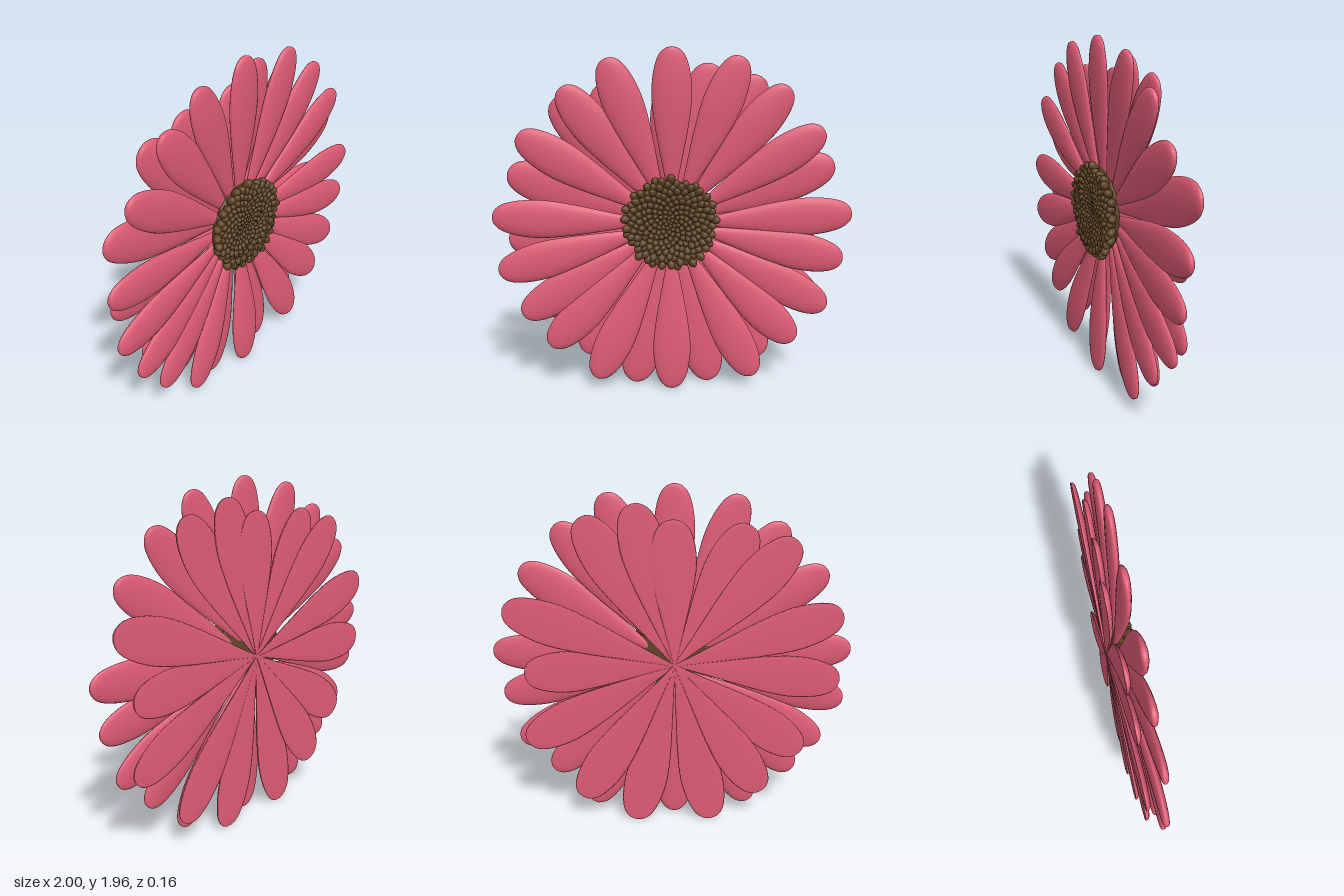
import * as THREE from 'three';

const CX = -0.01, CY = 1.0;

// Tips (x, y) of the upper ring of petals, clockwise from the top
const FRONT_TIPS = [
  [-0.01, 1.97], [0.36, 1.92], [0.62, 1.76], [0.82, 1.53], [1.0, 1.06], [0.96, 0.79],
  [0.88, 0.5], [0.7, 0.3], [0.47, 0.08], [-0.01, 0.01], [-0.45, 0.08], [-0.71, 0.29],
  [-0.86, 0.48], [-0.98, 0.74], [-1.0, 1.06], [-0.84, 1.51], [-0.6, 1.76], [-0.36, 1.91],
];

// Tips of the lower ring
const BACK_TIPS = [
  [0, 1.8], [0.21, 1.88], [0.48, 1.81], [0.91, 1.33], [0.82, 0.95], [0.83, 0.53],
  [0.53, 0.17], [0.22, 0.01], [-0.23, 0.01], [-0.52, 0.2], [-0.74, 0.46], [-0.93, 0.9],
  [-0.92, 1.29], [-0.65, 1.69], [-0.4, 1.77],
];

// Petal outline: x = relative half width, y = position along the petal
const OUTLINE = new THREE.SplineCurve([
  [0.04, 0], [0.26, 0.15], [0.53, 0.32], [0.83, 0.52], [1, 0.7],
  [0.93, 0.84], [0.7, 0.94], [0.36, 0.988], [0, 1],
].map(([x, y]) => new THREE.Vector2(x, y)));

// Loft a petal from oval cross-sections running from start radius to tip
function petalGeometry([tx, ty], o) {
  const RINGS = 32, SIDES = 20;
  const d = new THREE.Vector2(tx - CX, ty - CY);
  const length = d.length();
  d.normalize();
  const pos = [], index = [];
  for (let i = 0; i <= RINGS; i++) {
    const p = OUTLINE.getPoint(i / RINGS);
    const w = Math.max(p.x, 0);
    const r = o.start + (length - o.start) * p.y;
    const mid = o.z + o.rise * Math.sin(Math.min(p.y, 1) * Math.PI / 2);
    const thick = o.thick * Math.sqrt(w);
    for (let j = 0; j < SIDES; j++) {
      const a = j / SIDES * Math.PI * 2;
      const side = Math.cos(a) * w * o.halfWidth;
      const up = Math.sin(a) * thick * (Math.sin(a) > 0 ? 1 : o.under);
      pos.push(CX + d.x * r + d.y * side, CY + d.y * r - d.x * side, mid + up);
      if (i < RINGS) {
        const A = i * SIDES + j, B = i * SIDES + (j + 1) % SIDES;
        index.push(A, A + SIDES, B, B, A + SIDES, B + SIDES);
      }
    }
  }
  const g = new THREE.BufferGeometry();
  g.setAttribute('position', new THREE.Float32BufferAttribute(pos, 3));
  g.setIndex(index);
  g.computeVertexNormals();
  return g;
}

function petalRing(name, tips, material, options) {
  const ring = new THREE.Group();
  ring.name = name;
  tips.forEach((tip, i) => {
    const mesh = new THREE.Mesh(petalGeometry(tip, options(i)), material);
    mesh.name = 'petal';
    ring.add(mesh);
  });
  return ring;
}

// Spiral of florets, small in the middle and plump, outward-leaning at the rim
function floretDisc(material) {
  const disc = new THREE.Group();
  disc.name = 'flowerCentre';
  disc.position.set(-0.02, 1.02, 0);

  const base = new THREE.Mesh(new THREE.SphereGeometry(1, 40, 20), material);
  base.name = 'centreBase';
  base.scale.set(0.235, 0.235, 0.045);
  disc.add(base);

  const bud = new THREE.SphereGeometry(1, 12, 9);
  const COUNT = 210, GOLDEN = Math.PI * (3 - Math.sqrt(5));
  for (let i = 0; i < COUNT; i++) {
    const t = (i + 0.5) / COUNT;
    const k = Math.pow(t, 0.62);
    const wobble = Math.sin(i * 12.9898);
    const a = i * GOLDEN;
    const r = 0.25 * k + 0.008 * wobble * k;
    const out = new THREE.Vector3(Math.cos(a), Math.sin(a), 0);
    const axis = out.clone().multiplyScalar(1.3 * k * k).setZ(1).normalize();
    const size = 0.011 + 0.015 * k;
    const floret = new THREE.Mesh(bud, material);
    floret.name = 'floret';
    floret.scale.set(size, size * 1.45, size);
    floret.quaternion.setFromUnitVectors(new THREE.Vector3(0, 1, 0), axis);
    floret.position.copy(out).multiplyScalar(r).setZ(0.036 + 0.012 * Math.sin(k * Math.PI) + 0.005 * wobble * k);
    disc.add(floret);
  }
  return disc;
}

export function createModel() {
  const pink = new THREE.MeshStandardMaterial({ color: 0xdf5c75 });
  pink.name = 'petalPink';
  const brown = new THREE.MeshStandardMaterial({ color: 0x5e4424 });
  brown.name = 'centreBrown';

  const flower = new THREE.Group();
  flower.name = 'daisyFlower';
  flower.add(
    petalRing('frontPetals', FRONT_TIPS, pink, (i) => ({
      start: 0.08, halfWidth: 0.108, thick: 0.03, under: 0.75,
      z: -0.035 + (i % 2) * 0.006, rise: 0.052,
    })),
    petalRing('backPetals', BACK_TIPS, pink, (i) => ({
      start: 0, halfWidth: 0.122, thick: 0.034, under: 0.15,
      z: -0.083 + (i % 3) * 0.004, rise: 0.006,
    })),
    floretDisc(brown),
  );
  return flower;
}
